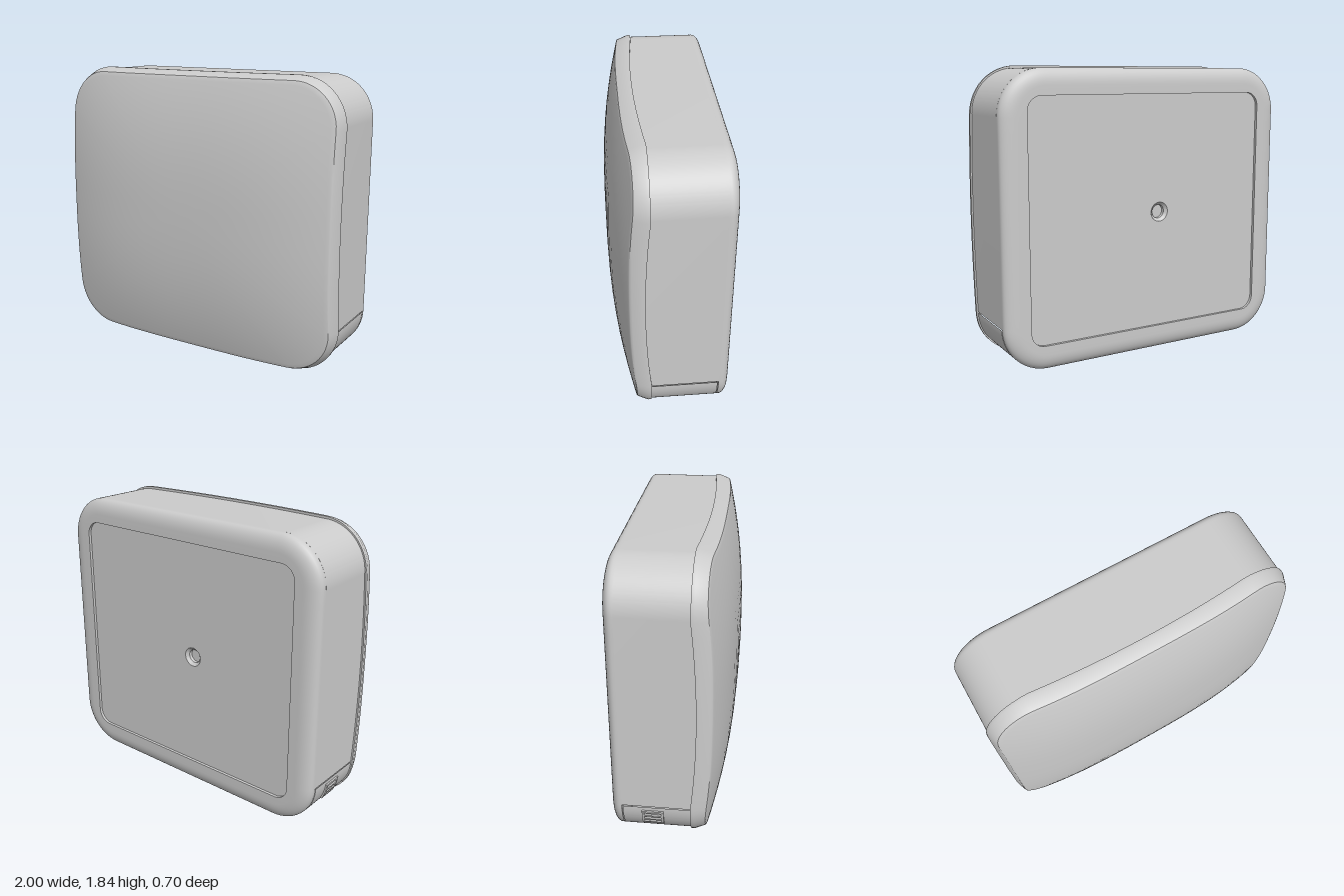
import * as THREE from 'three';
import { toCreasedNormals } from 'three/addons/utils/BufferGeometryUtils.js';

const CY = 0.9175; // height of the centre
const W = 0.99, H = 0.9025, R = 0.28; // body half sizes and corner radius
const BOTTOM = CY - H, SPLIT = 0.29, FRONT = 0.165, BACK = -0.28;
const HOLE_X = -0.07;

const material = new THREE.MeshStandardMaterial({ color: 0xcccccc });
const openMaterial = new THREE.MeshStandardMaterial({ color: 0xcccccc, side: THREE.DoubleSide });

function addMesh(parent, name, geometry, mat = material) {
  const mesh = new THREE.Mesh(geometry, mat);
  mesh.name = name;
  parent.add(mesh);
  return mesh;
}

// Rounded rectangle as a counter-clockwise loop with a fixed point count
function outline(hw, hh, r) {
  const arc = 14, side = 14, pts = [];
  const corners = [[1, 1], [-1, 1], [-1, -1], [1, -1]];
  corners.forEach(([sx, sy], c) => {
    for (let i = 0; i <= arc; i++) {
      const a = (c + i / arc) * Math.PI / 2;
      pts.push([sx * (hw - r) + r * Math.cos(a), sy * (hh - r) + r * Math.sin(a)]);
    }
    const [px, py] = pts[pts.length - 1];
    const [nx, ny] = corners[(c + 1) % 4];
    const a = (c + 1) * Math.PI / 2;
    const qx = nx * (hw - r) + r * Math.cos(a), qy = ny * (hh - r) + r * Math.sin(a);
    for (let i = 1; i < side; i++) {
      pts.push([px + (qx - px) * i / side, py + (qy - py) * i / side]);
    }
  });
  return pts;
}

// Skin through loops of [x, y, z] points, ordered so faces look outward
function loft(rings, crease = 0.45) {
  const n = rings[0].length, index = [];
  for (let k = 0; k < rings.length - 1; k++) {
    for (let i = 0; i < n; i++) {
      const j = (i + 1) % n, a = k * n, b = a + n;
      index.push(a + i, a + j, b + j, a + i, b + j, b + i);
    }
  }
  const g = new THREE.BufferGeometry();
  g.setAttribute('position', new THREE.Float32BufferAttribute(rings.flat(2), 3));
  g.setIndex(index);
  g.translate(0, CY, 0);
  return toCreasedNormals(g, crease);
}

function extrude(shape, z0, z1) {
  const g = new THREE.ExtrudeGeometry(shape, { depth: z1 - z0, bevelEnabled: false, curveSegments: 24 });
  g.translate(0, 0, z0);
  return toCreasedNormals(g, 0.45);
}

// Domed front cover with a wavy seam and a sloping rim
function frontCover() {
  const dome = (x, y) => {
    const a = (Math.abs(x) / 0.965) ** 3, b = (Math.abs(y) / 0.885) ** 2.5;
    return 0.35 - 0.1 * (a + b - 0.35 * a * b);
  };
  const seam = (x, y) => {
    const s = Math.min(1, Math.abs(x) / 0.7, Math.abs(y) / 0.62);
    return 0.125 + 0.033 * (1 - s * s);
  };
  const ring = (d, t, z) => outline(1 - d, CY - d, 0.3 - d).map(([x, y]) => [x * t, y * t, z(x * t, y * t)]);
  const rings = [
    ring(0.03, 1, seam),
    ring(0, 1, seam),
    ring(0, 1, (x, y) => seam(x, y) + 0.02),
    ring(0.022, 1, (x, y) => dome(x, y) - 0.012),
    ring(0.028, 1, (x, y) => dome(x, y) - 0.002),
  ];
  for (const t of [1, 0.98, 0.95, 0.9, 0.84, 0.76, 0.67, 0.57, 0.45, 0.32, 0.18, 0]) {
    rings.push(ring(0.036, t, dome));
  }
  return loft(rings, 0.6);
}

// Back of the case: recess wall, flat border, rounded edge, inner cap
function backShell() {
  const ring = (hw, hh, r, z) => outline(hw, hh, r).map(([x, y]) => [x, y, z]);
  const rings = [ring(0.83, 0.745, 0.09, -0.337), ring(0.83, 0.745, 0.09, -0.355)];
  for (let i = 0; i <= 8; i++) {
    const a = i / 8 * Math.PI / 2;
    const d = 0.1 * (1 - Math.sin(a));
    rings.push(ring(W - d, H - d, R - d, -0.3 - 0.055 * Math.cos(a)));
  }
  rings.push(ring(W, H, R, BACK - 0.006), ring(0, 0, 0, BACK - 0.006));
  return loft(rings);
}

// Rectangle with rounded corners and one round hole
function plateWithHole(hw, hh, r, holeX, holeY, holeR) {
  const shape = new THREE.Shape(outline(hw, hh, r).map(([x, y]) => new THREE.Vector2(x, y)));
  shape.holes.push(new THREE.Path().absarc(holeX, holeY, holeR, 0, Math.PI * 2, true));
  return shape;
}

// Countersunk screw hole, running inward along +y
function screwHole(r) {
  const profile = [[r, 0], [r * 0.7, 0.018], [r * 0.7, 0.04], [0, 0.04]].map(p => new THREE.Vector2(...p));
  return toCreasedNormals(new THREE.LatheGeometry(profile, 32), 0.4);
}

export function createModel() {
  const model = new THREE.Group();
  model.name = 'wallBox';
  addMesh(model, 'frontCover', frontCover());
  addMesh(model, 'backShell', backShell());

  // Main body above the bottom cover
  const upper = new THREE.Shape();
  const top = CY + H;
  upper.moveTo(-W, SPLIT + 0.006);
  upper.lineTo(W, SPLIT + 0.006);
  upper.absarc(W - R, top - R, R, 0, Math.PI / 2, false);
  upper.absarc(R - W, top - R, R, Math.PI / 2, Math.PI, false);
  upper.closePath();
  addMesh(model, 'mainBody', extrude(upper, BACK - 0.006, FRONT));

  // Back panel with mounting hole
  const panel = extrude(plateWithHole(0.83, 0.745, 0.09, HOLE_X, 0, 0.062), -0.337, -0.31);
  addMesh(model, 'backPanel', panel).position.y = CY;
  const backHole = addMesh(model, 'backScrewHole', screwHole(0.062), openMaterial);
  backHole.position.set(HOLE_X, CY, -0.337);
  backHole.rotation.x = Math.PI / 2;

  // Removable bottom cover: two round corners and a flat floor
  const cover = new THREE.Group();
  cover.name = 'bottomCover';
  model.add(cover);
  for (const s of [-1, 1]) {
    const corner = new THREE.Shape();
    const cx = s * (W - R), cy = BOTTOM + R, lip = 0.018;
    corner.moveTo(cx, SPLIT);
    if (s > 0) corner.absarc(cx, cy, R, -Math.PI / 2, -lip, false);
    else corner.absarc(cx, cy, R, -Math.PI / 2, lip - Math.PI, true);
    corner.closePath();
    addMesh(cover, s > 0 ? 'leftCorner' : 'rightCorner', extrude(corner, BACK, FRONT));
  }
  const midZ = (FRONT + BACK) / 2, holeZ = -0.08;
  const floor = extrude(plateWithHole(W - R, (FRONT - BACK) / 2, 0, HOLE_X, midZ - holeZ, 0.058), 0, 0.1);
  floor.rotateX(-Math.PI / 2);
  addMesh(cover, 'floor', floor).position.set(0, BOTTOM, midZ);
  addMesh(cover, 'bottomScrewHole', screwHole(0.058), openMaterial).position.set(HOLE_X, BOTTOM, holeZ);

  // Small vent grille wrapped round the lower right corner
  const vent = new THREE.Group();
  vent.name = 'ventGrille';
  model.add(vent);
  const addBar = (name, angle, height, depth, z) => {
    const bar = addMesh(vent, name, new THREE.BoxGeometry(0.02, height, depth));
    bar.position.set(R - W - R * Math.cos(angle), BOTTOM + R - R * Math.sin(angle), z);
    bar.rotation.z = angle;
  };
  for (let i = 0; i < 4; i++) {
    const angle = 0.13 + i * 0.115;
    addBar('ventRib', angle, 0.014, 0.13, -0.1);
    if (i < 3) for (const s of [-1, 1]) addBar('ventPost', angle + 0.0575, 0.034, 0.014, -0.1 + s * 0.058);
  }
  return model;
}
